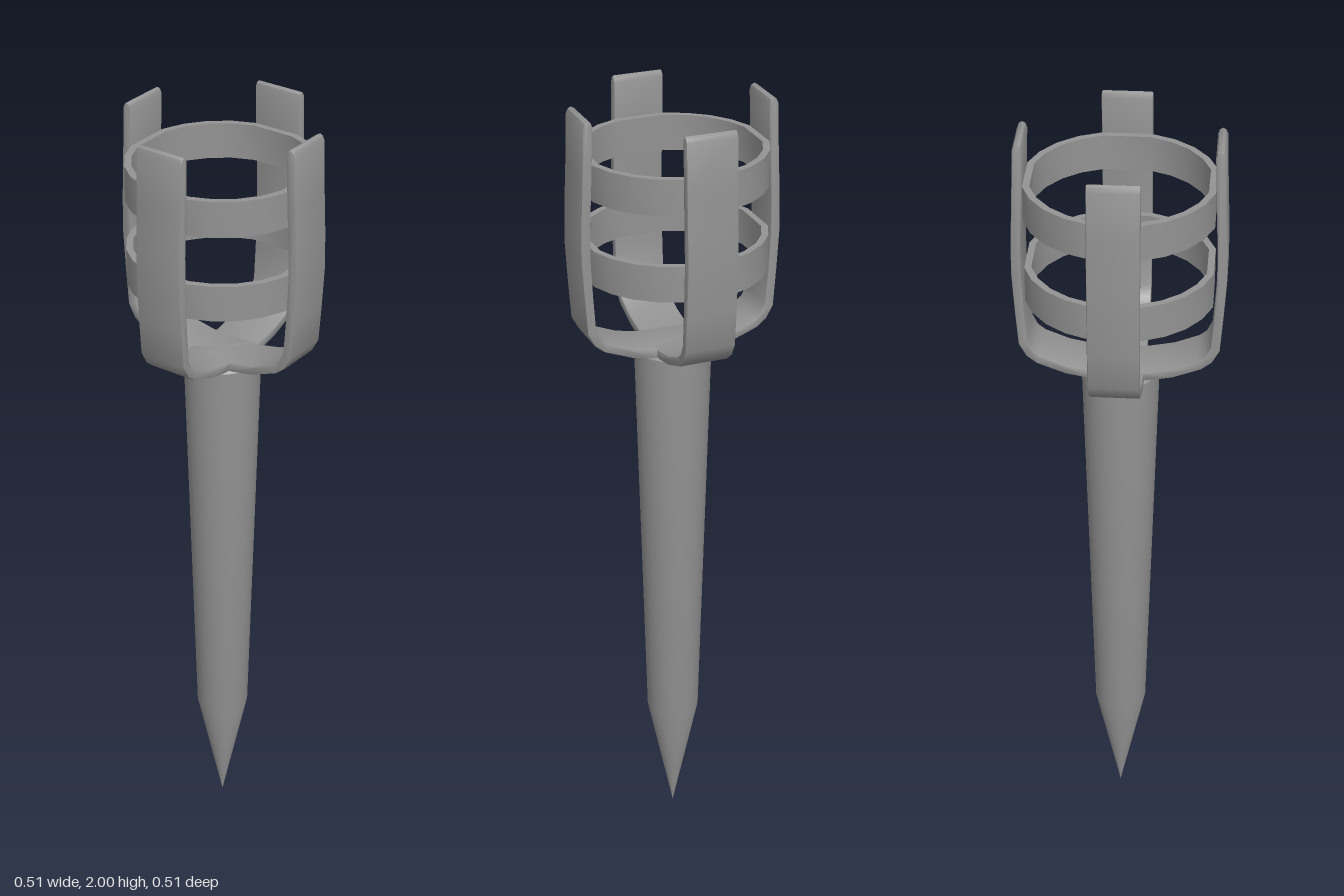
import * as THREE from 'three';
import { toCreasedNormals } from 'three/addons/utils/BufferGeometryUtils.js';

const material = new THREE.MeshStandardMaterial({ color: 0x939393 });

function addMesh(parent, name, geometry) {
  const mesh = new THREE.Mesh(toCreasedNormals(geometry, 0.6), material);
  mesh.name = name;
  parent.add(mesh);
  return mesh;
}

const toVectors = (points) => points.map(([x, y]) => new THREE.Vector2(x, y));

// U-shaped band: right half of the outer and inner outline, mirrored and extruded to the strap width
function strapGeometry(width) {
  const outer = [[0.07, 1.374], [0.13, 1.385], [0.2, 1.412], [0.225, 1.432], [0.243, 1.465],
    [0.25, 1.56], [0.256, 1.66], [0.255, 1.75], [0.25, 1.86], [0.246, 1.985], [0.241, 1.996]];
  const inner = [[0.234, 2], [0.226, 1.996], [0.222, 1.985], [0.226, 1.86], [0.231, 1.75],
    [0.232, 1.66], [0.227, 1.56], [0.221, 1.475], [0.208, 1.448], [0.19, 1.433],
    [0.13, 1.409], [0.07, 1.397]];
  const half = [...outer, ...inner];
  const mirrored = half.map(([x, y]) => [-x, y]).reverse();
  const bevel = 0.004;
  const geometry = new THREE.ExtrudeGeometry(new THREE.Shape(toVectors([...half, ...mirrored])), {
    depth: width - 2 * bevel, bevelEnabled: true, bevelSize: bevel, bevelOffset: -bevel,
    bevelThickness: bevel, bevelSegments: 2,
  });
  return geometry.translate(0, 0, bevel - width / 2);
}

// Faceted hoop: five corners per quarter, with a flat behind each prong
function hoopGeometry(innerRadius, outerRadius, height) {
  const outline = (radius) => {
    const points = [];
    for (let quarter = 0; quarter < 4; quarter++) {
      for (let step = 1; step <= 5; step++) {
        const angle = (quarter * 6 + step) * Math.PI / 12;
        points.push([radius * Math.cos(angle), radius * Math.sin(angle)]);
      }
    }
    return toVectors(points);
  };
  const shape = new THREE.Shape(outline(outerRadius));
  shape.holes.push(new THREE.Path(outline(innerRadius)));
  return new THREE.ExtrudeGeometry(shape, { depth: height, bevelEnabled: false })
    .translate(0, 0, -height / 2).rotateX(-Math.PI / 2);
}

export function createModel() {
  const model = new THREE.Group();
  model.name = 'groundStakeHolder';

  // Tapered stake with a pointed tip
  const profile = [[0, 0], [0.067, 0.32], [0.096, 1.37], [0.092, 1.376], [0, 1.376]];
  addMesh(model, 'stake', new THREE.LatheGeometry(toVectors(profile), 32));

  // Two crossed straps forming the four prongs
  const straps = new THREE.Group();
  straps.name = 'straps';
  model.add(straps);
  [['sideStrap', 0.123], ['frontBackStrap', 0.128]].forEach(([name, width], i) => {
    addMesh(straps, name, strapGeometry(width)).rotation.y = i * Math.PI / 2;
  });

  // Hoops tying the prongs together
  [['lowerHoop', 1.633], ['upperHoop', 1.848]].forEach(([name, y]) => {
    addMesh(model, name, hoopGeometry(0.215, 0.232, 0.09)).position.y = y;
  });

  return model;
}
